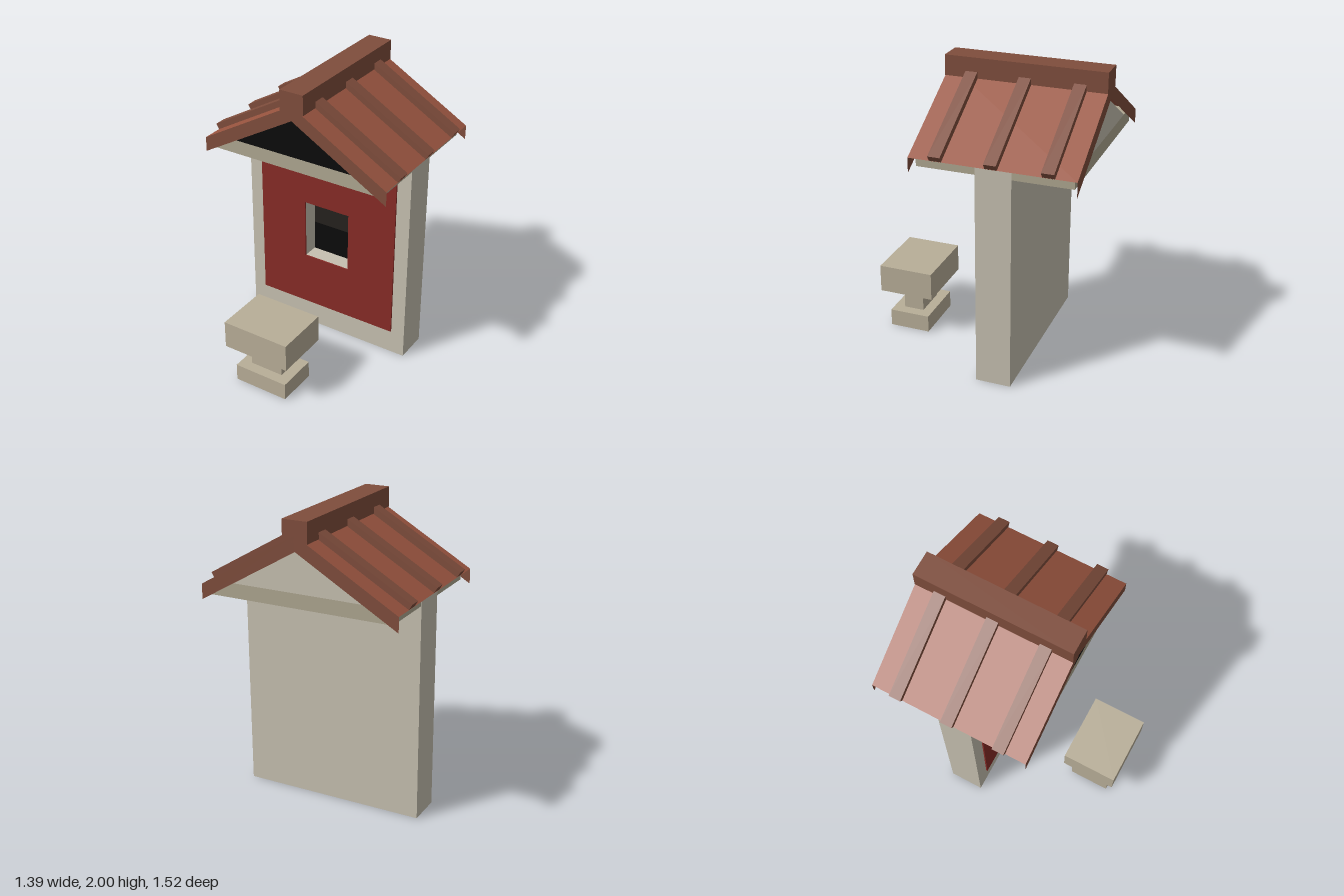
import * as THREE from 'three';

const paint = (color, side = THREE.FrontSide) =>
  new THREE.MeshStandardMaterial({ color, side, flatShading: true });

const stone = paint(0xc6c0b0);
const beamStone = paint(0xaea690);
const pedestalStone = paint(0xb8ae98);
const red = paint(0x862b26);
const tile = paint(0x9a5540, THREE.DoubleSide);
const trim = paint(0x7f4d3c, THREE.DoubleSide);
const black = paint(0x0b0b0b);
const soot = paint(0x25211d);

const FRONT = 0.31, BACK = -0.76; // roof ends
const EAVE_X = 0.675, EAVE_Y = 1.52, RIDGE_Y = 1.91, BAND = 0.1;

export function createModel() {
  const model = new THREE.Group();
  model.name = 'wallShrine';

  const add = (name, geometry, material) => {
    const mesh = new THREE.Mesh(geometry, material);
    mesh.name = name;
    model.add(mesh);
    return mesh;
  };
  // Box given by its limits on each axis
  const box = (name, material, [x0, x1], [y0, y1], [z0, z1]) =>
    add(name, new THREE.BoxGeometry(x1 - x0, y1 - y0, z1 - z0), material)
      .position.set((x0 + x1) / 2, (y0 + y1) / 2, (z0 + z1) / 2);
  const outline = (points) => new THREE.Shape(points.map(([x, y]) => new THREE.Vector2(x, y)));
  const rect = (x, y0, y1) => outline([[-x, y0], [x, y0], [x, y1], [-x, y1]]);
  const extrude = (name, material, shape, z0, z1) => {
    const geometry = new THREE.ExtrudeGeometry(shape, { depth: z1 - z0, bevelEnabled: false });
    return add(name, geometry.translate(0, 0, z0), material);
  };
  // Slab with the niche opening cut out
  const withNiche = (shape) => {
    shape.holes.push(rect(0.172, 0.56, 0.99));
    return shape;
  };

  // Wall with a shallow niche
  box('wallBack', stone, [-0.626, 0.626], [0, 1.54], [-0.34, -0.22]);
  extrude('wallFront', stone, withNiche(rect(0.626, 0, 1.54)), -0.22, -0.105);
  extrude('redPanel', red, withNiche(rect(0.527, 0.175, 1.375)), -0.105, -0.095);
  box('nicheLower', black, [-0.172, 0.172], [0.56, 0.775], [-0.22, -0.215]);
  box('nicheUpper', soot, [-0.172, 0.172], [0.775, 0.99], [-0.22, -0.215]);

  // Ceiling slab and gable under the roof
  box('ceilingSlab', beamStone, [-0.623, 0.623], [1.45, 1.545], [-0.73, 0.28]);
  const gable = outline([[-0.47, 1.545], [0.47, 1.545], [0, 1.816]]);
  extrude('gable', stone, gable, -0.73, 0.275);
  add('gableOpening', new THREE.ShapeGeometry(gable).translate(0, 0, 0.28), black);

  // Gable boards at both roof ends
  const board = outline([
    [-EAVE_X, EAVE_Y - BAND], [0, RIDGE_Y - BAND], [EAVE_X, EAVE_Y - BAND],
    [EAVE_X, EAVE_Y], [0, RIDGE_Y], [-EAVE_X, EAVE_Y],
  ]);
  add('frontGableBoard', new THREE.ShapeGeometry(board).translate(0, 0, FRONT), trim);
  add('backGableBoard', new THREE.ShapeGeometry(board).rotateY(Math.PI).translate(0, 0, BACK), trim);

  // Roof slopes with three battens each
  const pitch = Math.atan2(RIDGE_Y - EAVE_Y, EAVE_X);
  const run = Math.hypot(EAVE_X, RIDGE_Y - EAVE_Y);
  for (const [side, label] of [[1, 'left'], [-1, 'right']]) {
    const sheet = new THREE.PlaneGeometry(run, FRONT - BACK)
      .rotateX(-Math.PI / 2)
      .rotateZ(-side * pitch)
      .translate(side * EAVE_X / 2, (EAVE_Y + RIDGE_Y) / 2, (FRONT + BACK) / 2);
    add(label + 'RoofSlope', sheet, tile);

    const batten = outline([[0.08, 1.86], [0.672, 1.518], [0.695, 1.555], [0.08, 1.91]]
      .map(([x, y]) => [side * x, y]));
    for (const z of [0.13, -0.227, -0.585]) {
      extrude(label + 'RoofBatten', trim, batten, z - 0.04, z + 0.04);
    }
  }
  box('ridgeBeam', trim, [-0.085, 0.085], [1.865, 2], [BACK, FRONT]);

  // Offering pedestal in front
  box('pedestalBase', pedestalStone, [-0.195, 0.195], [0, 0.12], [0.43, 0.715]);
  box('pedestalStem', pedestalStone, [-0.12, 0.12], [0.12, 0.29], [0.5, 0.642]);
  box('pedestalTop', pedestalStone, [-0.24, 0.24], [0.29, 0.483], [0.38, 0.762]);

  return model;
}
